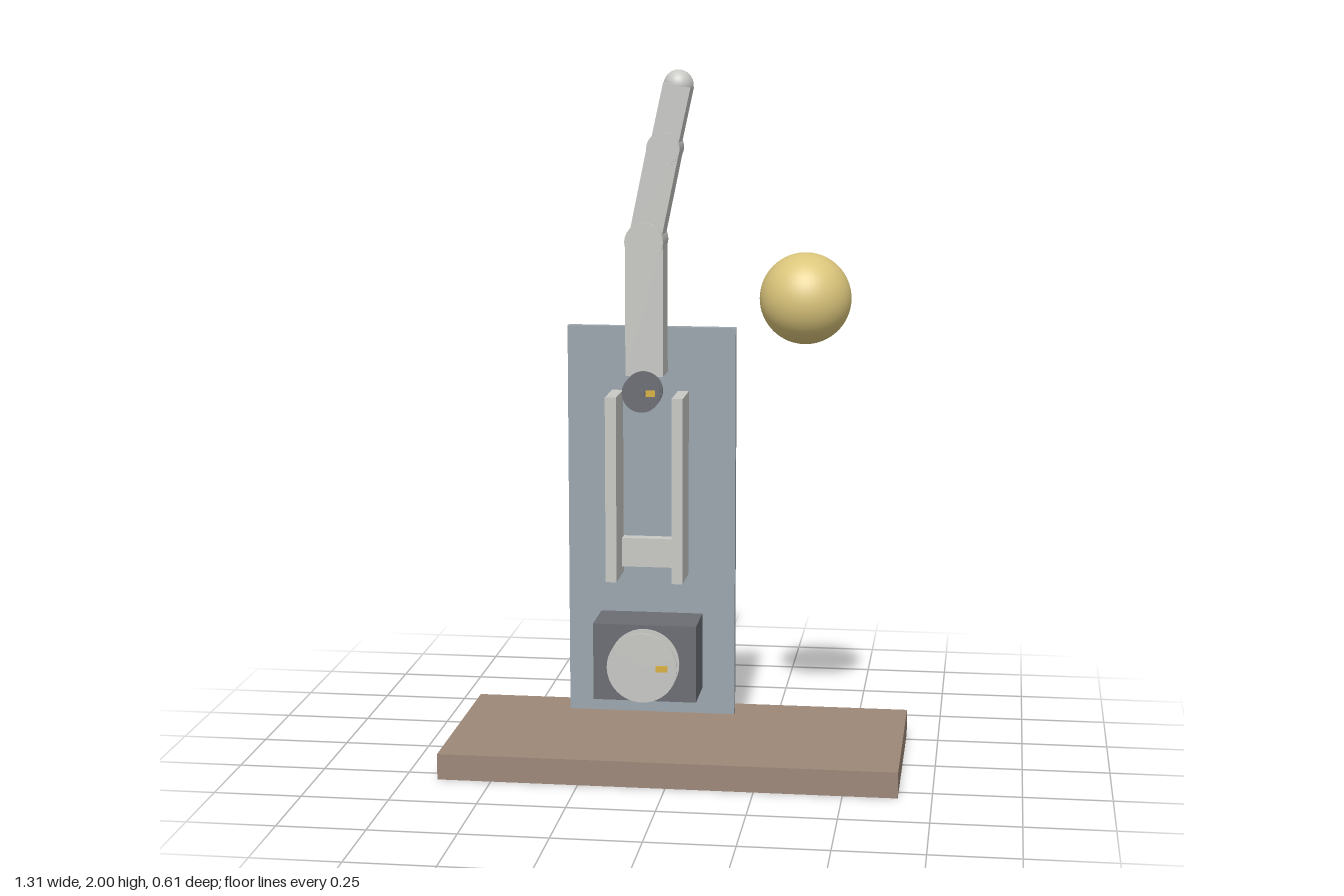
import * as THREE from 'three';

const mat = (name, color) => {
  const m = new THREE.MeshStandardMaterial({ color });
  m.name = name;
  return m;
};

export function createModel() {
  const root = new THREE.Group();
  root.name = 'fingerActuatorRig';

  const wood = mat('brown base', 0x9c8878);
  const plate = mat('blue grey plate', 0x9ca6ae);
  const light = mat('light grey', 0xc8c8c5);
  const dark = mat('dark grey', 0x6b6d74);
  const yellow = mat('soft yellow', 0xdcc67c);
  const gold = mat('gold marker', 0xd9b040);

  const add = (name, geo, material, x, y, z, parent = root) => {
    const mesh = new THREE.Mesh(geo, material);
    mesh.name = name;
    mesh.position.set(x, y, z);
    parent.add(mesh);
    return mesh;
  };
  // Box given by its limits on each axis
  const box = (name, material, [x0, x1], [y0, y1], [z0, z1]) =>
    add(name, new THREE.BoxGeometry(x1 - x0, y1 - y0, z1 - z0), material,
      (x0 + x1) / 2, (y0 + y1) / 2, (z0 + z1) / 2);
  // Cylinder along z between z0 and z1
  const disc = (name, material, r, x, y, z0, z1, parent = root) =>
    add(name, new THREE.CylinderGeometry(r, r, z1 - z0, 40).rotateX(Math.PI / 2),
      material, x, y, (z0 + z1) / 2, parent);

  // Base, back plate and motor housing
  box('base', wood, [-0.655, 0.655], [0, 0.075], [-0.305, 0.305]);
  box('backPlate', plate, [-0.335, 0.155], [0.11, 1.26], [-0.103, -0.077]);
  box('motorHousing', dark, [-0.24, 0.06], [0.187, 0.413], [-0.077, 0.077]);

  // Guide rails and the slider between them
  box('rightRail', light, [-0.204, -0.172], [0.535, 1.075], [-0.07, 0.068]);
  box('leftRail', light, [-0.012, 0.02], [0.535, 1.075], [-0.07, 0.068]);
  box('slider', light, [-0.172, -0.012], [0.557, 0.642], [-0.077, -0.04]);

  // Flanged wheels: a core between two thin rims, with an index mark in front
  const cx = -0.09;
  const wheel = (name, material, y, core, rim, markX, markW) => {
    const g = new THREE.Group();
    g.name = name;
    root.add(g);
    disc('core', material, core, cx, y, 0.08, 0.13, g);
    for (const z of [0.077, 0.127]) disc('rim', material, rim, cx, y, z, z + 0.006, g);
    add('indexMark', new THREE.BoxGeometry(markW, 0.018, 0.005), gold, markX, y, 0.135, g);
  };
  wheel('motorSpool', light, 0.3, 0.088, 0.102, -0.032, 0.034);
  wheel('pulley', dark, 1.1, 0.043, 0.055, -0.063, 0.027);
  disc('pulleyShaft', dark, 0.013, cx, 1.1, -0.077, 0.148);

  // Finger: three links, two knuckles and a round tip
  const fz = 0.019;
  const pts = [[cx, 1.138], [cx, 1.52], [-0.036, 1.782], [0.002, 1.958]];
  const links = [[0.108, 0.1], [0.092, 0.093], [0.078, 0.085]];
  links.forEach(([w, d], i) => {
    const [ax, ay] = pts[i], [bx, by] = pts[i + 1];
    const link = add('fingerLink' + (i + 1),
      new THREE.BoxGeometry(w, Math.hypot(bx - ax, by - ay), d), light,
      (ax + bx) / 2, (ay + by) / 2, fz);
    link.rotation.z = -Math.atan2(bx - ax, by - ay);
  });
  [[0.055, 0.115], [0.047, 0.102]].forEach(([r, d], i) =>
    disc('knuckle' + (i + 1), light, r, ...pts[i + 1], fz - d / 2, fz + d / 2));
  add('fingertip', new THREE.SphereGeometry(0.042, 32, 20), light, ...pts[3], fz);

  // Floating ball
  add('ball', new THREE.SphereGeometry(0.129, 48, 32), yellow, 0.364, 1.365, 0.035);

  return root;
}
